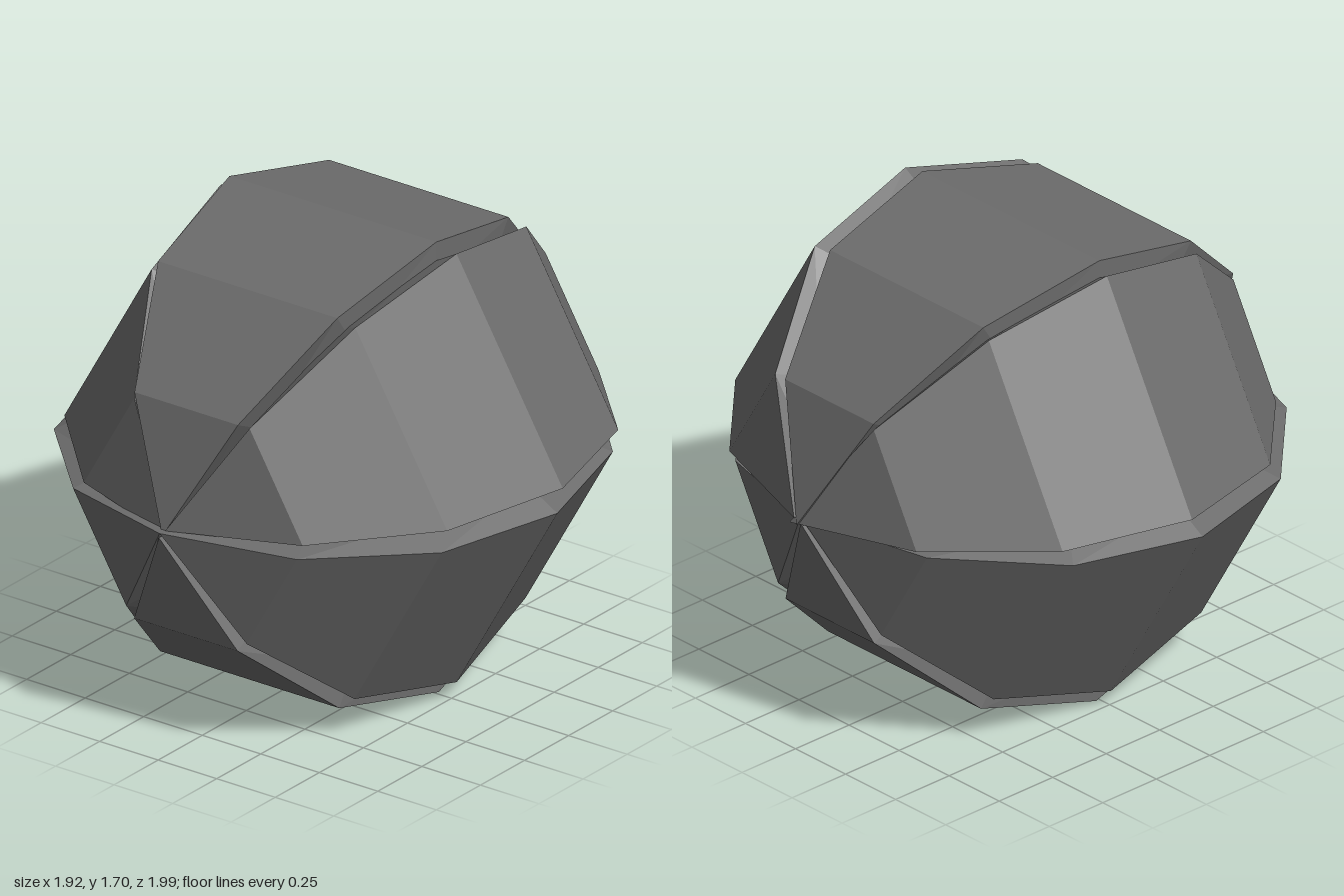
import * as THREE from 'three';

const RADIUS = 0.85;   // from the axis to the middle of a segment's outer face
const BANDS = 6;

// One wedge running pole to pole along z: flat outer bands, upright rims
// sinking toward the centre, then tapering to the axis.
function segmentGeometry() {
  const rings = [];
  for (let i = 0; i <= BANDS; i++) {
    const t = (i / BANDS) * Math.PI;
    const r = RADIUS * Math.sin(t), w = 0.52 * r;
    const z = (i % BANDS === 0 ? 0.985 : 0.97) * Math.cos(t);
    const inner = 0.82 * r, innerZ = 0.82 * z;
    rings.push([[w, r, z], [-w, r, z], [-w, inner, innerZ], [0, 0, innerZ], [w, inner, innerZ]]);
  }
  const positions = [];
  for (let i = 0; i < BANDS; i++) {
    for (let j = 0; j < 5; j++) {
      const k = (j + 1) % 5;
      const a = rings[i][j], b = rings[i][k], c = rings[i + 1][k], d = rings[i + 1][j];
      positions.push(...a, ...d, ...c, ...a, ...c, ...b);
    }
  }
  const geometry = new THREE.BufferGeometry();
  geometry.setAttribute('position', new THREE.Float32BufferAttribute(positions, 3));
  geometry.computeVertexNormals();
  return geometry;
}

export function createModel() {
  const model = new THREE.Group();
  model.name = 'segmentedBall';
  const material = new THREE.MeshStandardMaterial({ color: 0x6c6c6c, flatShading: true });
  const geometry = segmentGeometry();

  // Slightly uneven placement of the six segments around the axis
  const offsets = [
    ['topSegment', -0.007, 0, -0.017],
    ['upperRightSegment', 0.028, -0.002, -0.017],
    ['lowerRightSegment', 0, 0.02, 0.007],
    ['bottomSegment', -0.007, 0, 0.002],
    ['lowerLeftSegment', 0, 0.02, 0.007],
    ['upperLeftSegment', 0.006, 0.022, -0.017],
  ];
  const segments = new THREE.Group();
  segments.name = 'segments';
  offsets.forEach(([name, x, y, z], i) => {
    const segment = new THREE.Mesh(geometry, material);
    segment.name = name;
    segment.position.set(x, y, z);
    segment.rotation.z = (i * Math.PI) / 3;
    segments.add(segment);
  });
  segments.rotation.x = 0.02;
  segments.position.y = RADIUS;
  model.add(segments);
  return model;
}
